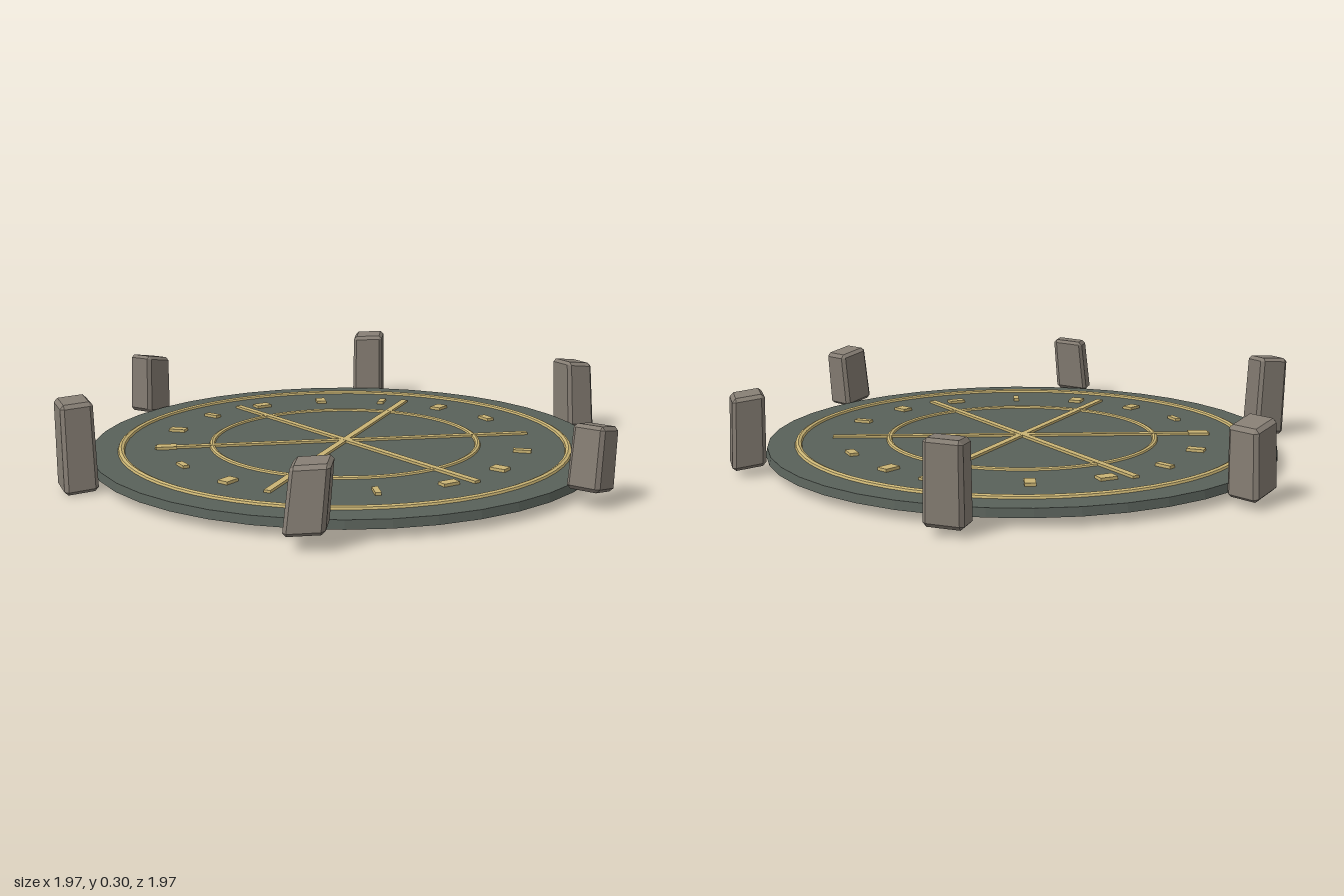
import * as THREE from 'three';
import { ConvexGeometry } from 'three/addons/geometries/ConvexGeometry.js';

const CX = -0.005, CZ = -0.01, TOP = 0.062;
const rad = THREE.MathUtils.degToRad;

function material(name, color) {
  const m = new THREE.MeshStandardMaterial({ color, flatShading: true });
  m.name = name;
  return m;
}

// Chamfered block, turned by yaw, then tapered, leaned and sheared so its ends slope
function stoneGeometry(s, yaw) {
  const half = [0.054, (s.top - s.bottom) / 2, 0.06], bevel = 0.012;
  const points = [];
  for (const sx of [-1, 1]) for (const sy of [-1, 1]) for (const sz of [-1, 1]) {
    for (let axis = 0; axis < 3; axis++) {
      const c = half.map((h, i) => (i === axis ? h : h - bevel));
      const p = new THREE.Vector3(sx * c[0], sy * c[1], sz * c[2]);
      const t = p.y / half[1];
      p.x *= 1 - 0.03 * t;
      p.z *= 1 - 0.03 * t;
      p.applyAxisAngle(new THREE.Vector3(0, 1, 0), yaw);
      p.y += p.x * s.slope[0] + p.z * s.slope[1];
      p.x += s.lean[0] * t / 2;
      p.z += s.lean[1] * t / 2;
      points.push(p);
    }
  }
  return new ConvexGeometry(points);
}

export function createModel() {
  const model = new THREE.Group();
  model.name = 'ritualCircle';
  const slate = material('slate', 0x59615a);
  const gold = material('gold', 0xcab474);
  const stone = material('stone', 0x857d73);

  const dais = new THREE.Group();
  dais.name = 'dais';
  dais.position.set(CX, 0, CZ);
  model.add(dais);
  const add = (parent, name, geometry, mat) => {
    const mesh = new THREE.Mesh(geometry, mat);
    mesh.name = name;
    parent.add(mesh);
    return mesh;
  };

  // Round slab
  const slab = add(dais, 'slab', new THREE.CylinderGeometry(0.885, 0.89, 0.028, 40), slate);
  slab.position.y = TOP - 0.014;

  // Inlaid rings
  for (const [name, radius, tube] of [['outerRing', 0.78, 0.013], ['innerRing', 0.467, 0.011]]) {
    const ring = add(dais, name, new THREE.TorusGeometry(radius, tube, 8, 64), gold);
    ring.rotation.x = Math.PI / 2;
    ring.position.y = TOP - 0.002;
  }

  // Three crossing bars
  for (let i = 0; i < 3; i++) {
    const bar = add(dais, 'bar', new THREE.BoxGeometry(1.33, 0.012, 0.024), gold);
    bar.position.y = TOP + 0.002 + i * 0.0003;
    bar.rotation.y = i * Math.PI / 3;
  }

  // Small marks every 22.5 degrees: [radial length, width]; the first lies under a bar
  const marks = [null, [0.062, 0.026], [0.055, 0.042], [0.035, 0.06], [0.065, 0.02],
    [0.055, 0.047], [0.055, 0.04], [0.022, 0.055], [0.07, 0.042], [0.06, 0.035],
    [0.06, 0.025], [0.042, 0.06], [0.06, 0.036], [0.058, 0.023], [0.058, 0.042], [0.03, 0.058]];
  marks.forEach((size, k) => {
    if (!size) return;
    const a = rad(22.5 * k);
    const mark = add(dais, 'mark', new THREE.BoxGeometry(size[0], 0.016, size[1]), gold);
    mark.position.set(0.625 * Math.cos(a), TOP + 0.002, 0.625 * Math.sin(a));
    mark.rotation.y = -a;
  });

  // Standing stones around the rim
  const stones = [
    { angle: -15, bottom: 0.03, top: 0.275, lean: [-0.01, -0.015], slope: [-0.11, 0.06] },
    { angle: 45, bottom: 0.054, top: 0.26, lean: [0.015, -0.01], slope: [-0.13, 0.13] },
    { angle: 105, bottom: 0.051, top: 0.256, lean: [0.02, 0.0], slope: [0.1, -0.02] },
    { angle: 165, bottom: 0.008, top: 0.298, lean: [-0.005, -0.022], slope: [0.04, -0.07] },
    { angle: 225, bottom: 0.038, top: 0.262, lean: [0.005, 0.005], slope: [-0.12, 0.16] },
    { angle: 285, bottom: 0.024, top: 0.282, lean: [0, 0], slope: [0.07, -0.07] },
  ];
  for (const s of stones) {
    const a = rad(s.angle);
    const block = add(model, 'standingStone', stoneGeometry(s, -a), stone);
    block.position.set(CX + 0.95 * Math.cos(a), (s.top + s.bottom) / 2, CZ + 0.95 * Math.sin(a));
  }
  return model;
}
